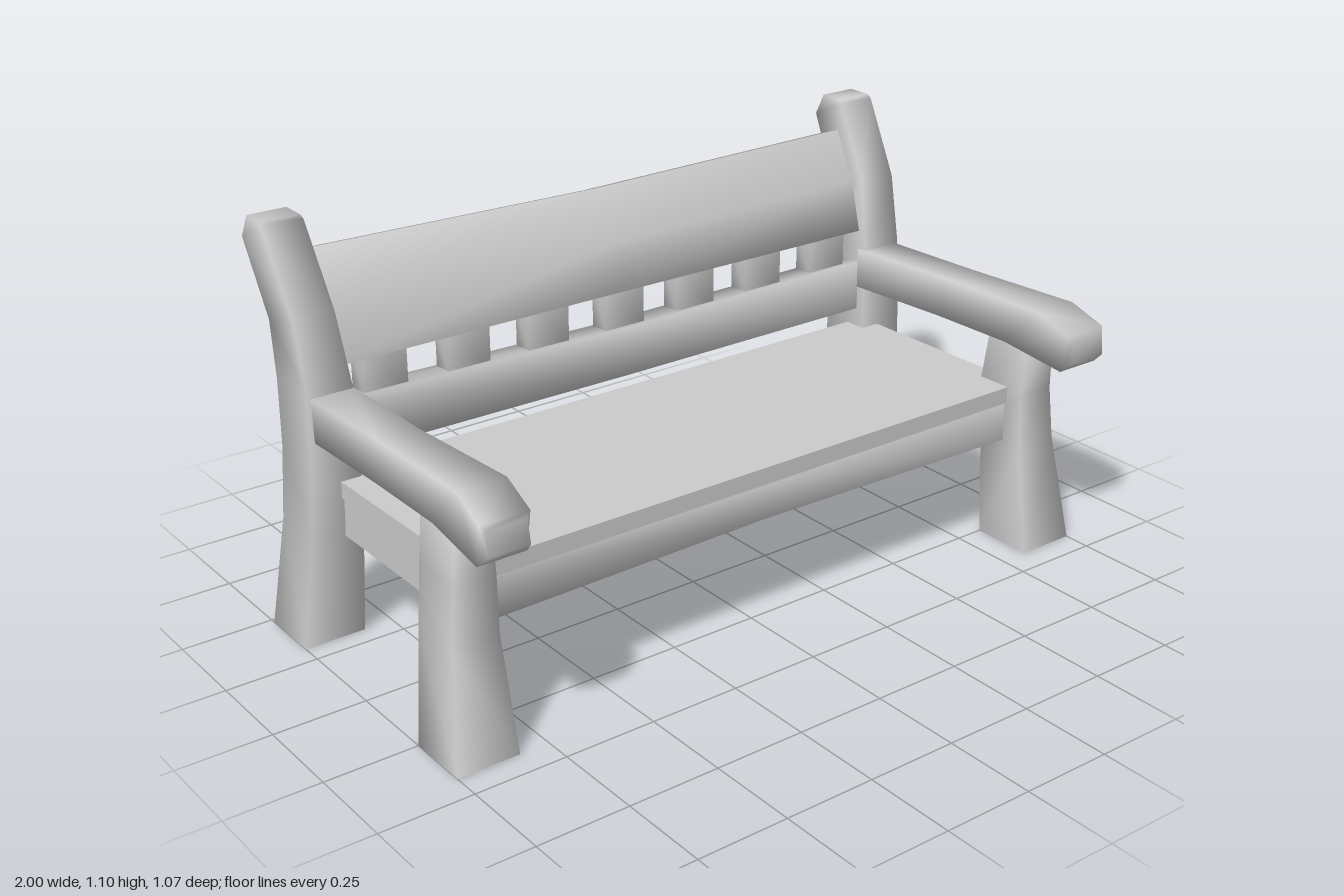
import * as THREE from 'three';

const material = new THREE.MeshStandardMaterial({ color: 0xcccccc, side: THREE.DoubleSide });

// Smooth skin through equal-sized rings of [x, y, z] points; the first end may stay open
function loft(name, rings, capStart = true) {
  const n = rings[0].length, last = (rings.length - 1) * n;
  const points = rings.flat();
  const index = [];
  for (let r = 0; r < rings.length - 1; r++) {
    for (let k = 0; k < n; k++) {
      const a = r * n + k, b = r * n + (k + 1) % n;
      index.push(a, b, b + n, a, b + n, a + n);
    }
  }
  for (let k = 1; k < n - 1; k++) {
    if (capStart) index.push(0, k + 1, k);
    index.push(last, last + k, last + k + 1);
  }
  // Turn the faces outward when the enclosed volume comes out negative
  let volume = 0;
  const [a, b, c] = [0, 1, 2].map(() => new THREE.Vector3());
  for (let i = 0; i < index.length; i += 3) {
    a.fromArray(points[index[i]]);
    b.fromArray(points[index[i + 1]]);
    c.fromArray(points[index[i + 2]]);
    volume += a.dot(b.cross(c));
  }
  if (volume < 0) index.reverse();
  const geometry = new THREE.BufferGeometry();
  geometry.setAttribute('position', new THREE.Float32BufferAttribute(points.flat(), 3));
  geometry.setIndex(index);
  geometry.computeVertexNormals();
  const mesh = new THREE.Mesh(geometry, material);
  mesh.name = name;
  return mesh;
}

// Four-sided beam; station = [inner x, outer x, y and z of one edge, y and z of the opposite edge]
function beam(name, side, stations, capStart) {
  return loft(name, stations.map(([x0, x1, ya, za, yb, zb]) => [
    [side * x1, ya, za], [side * x1, yb, zb], [side * x0, yb, zb], [side * x0, ya, za],
  ]), capStart);
}

// Board along x from a [y, z] profile; at mid-span it bows forward and its edges draw in
function board(name, profile, halfLength, bow, pinch) {
  const middle = profile.reduce((sum, p) => sum + p[0], 0) / profile.length;
  return loft(name, [-1, 0, 1].map((t) => profile.map(([y, z]) => {
    const k = 1 - Math.abs(t);
    return [t * halfLength, y - Math.sign(y - middle) * pinch * k, z + bow * k];
  })));
}

function box(name, w, h, d, x, y, z) {
  const mesh = new THREE.Mesh(new THREE.BoxGeometry(w, h, d), material);
  mesh.name = name;
  mesh.position.set(x, y, z);
  return mesh;
}

export function createModel() {
  const bench = new THREE.Group();
  bench.name = 'bench';

  for (const side of [1, -1]) {
    const label = side > 0 ? 'left' : 'right';

    // Splayed front leg, open at the foot
    bench.add(beam(label + 'FrontLeg', side, [
      [0.83, 1.0, 0, 0.425, 0, 0.25],
      [0.84, 0.965, 0.3, 0.373, 0.3, 0.222],
      [0.838, 0.95, 0.45, 0.366, 0.45, 0.213],
      [0.85, 0.945, 0.61, 0.37, 0.61, 0.228],
    ], false));

    // Back post, leaning back at the top with a clipped rear corner
    bench.add(beam(label + 'BackPost', side, [
      [0.83, 1.0, 0, -0.31, 0, -0.485],
      [0.83, 0.975, 0.33, -0.275, 0.32, -0.43],
      [0.83, 0.965, 0.52, -0.267, 0.52, -0.421],
      [0.835, 0.96, 0.7, -0.275, 0.7, -0.43],
      [0.85, 0.963, 0.885, -0.312, 0.85, -0.44],
      [0.858, 0.972, 1.09, -0.424, 1.04, -0.532],
      [0.862, 0.968, 1.1, -0.432, 1.1, -0.505],
    ], false));

    // Armrest with a blunt rounded nose
    bench.add(beam(label + 'Armrest', side, [
      [0.83, 0.95, 0.69, -0.3, 0.575, -0.3],
      [0.84, 0.95, 0.7, 0.05, 0.583, 0.03],
      [0.83, 0.96, 0.711, 0.415, 0.592, 0.3],
      [0.838, 0.968, 0.673, 0.518, 0.567, 0.5],
      [0.85, 0.958, 0.66, 0.525, 0.6, 0.535],
    ]));

    // Apron under the side of the seat
    bench.add(box(label + 'Apron', 0.035, 0.12, 0.56, side * 0.864, 0.36, 0));
  }

  // Seat slab, slightly lower at the back
  const seat = box('seat', 1.775, 0.046, 0.65, 0, 0.434, -0.01);
  seat.rotation.x = -0.011;
  bench.add(seat);

  // Aprons under the front and back of the seat, arched on the lower edge
  for (const [name, z] of [['frontApron', 0.29], ['backApron', -0.315]]) {
    bench.add(board(name, [
      [0.42, z + 0.018], [0.3, z + 0.018], [0.3, z - 0.018], [0.42, z - 0.018],
    ], 0.86, 0, 0.014));
  }

  // Backrest: lower rail, and a leaning top board whose upper edge falls away to the rear
  bench.add(board('lowerRail', [
    [0.65, -0.304], [0.508, -0.298], [0.508, -0.378], [0.642, -0.392],
  ], 0.87, 0.015, 0.004));
  bench.add(board('topBoard', [
    [0.742, -0.308], [0.88, -0.358], [1.012, -0.432], [0.99, -0.497], [0.86, -0.432], [0.742, -0.392],
  ], 0.88, 0.015, 0.008));

  // Seven short blocks between rail and board
  for (let i = -3; i <= 3; i++) {
    const x = i * 0.241 + 0.005, z = -0.353 + 0.015 * (1 - Math.abs(i) / 3.6);
    bench.add(loft('backBlock', [0.62, 0.77].map((y) =>
      [[-1, -1], [1, -1], [1, 1], [-1, 1]].map(([u, v]) => [x + u * 0.062, y, z + v * 0.031]))));
  }
  return bench;
}
